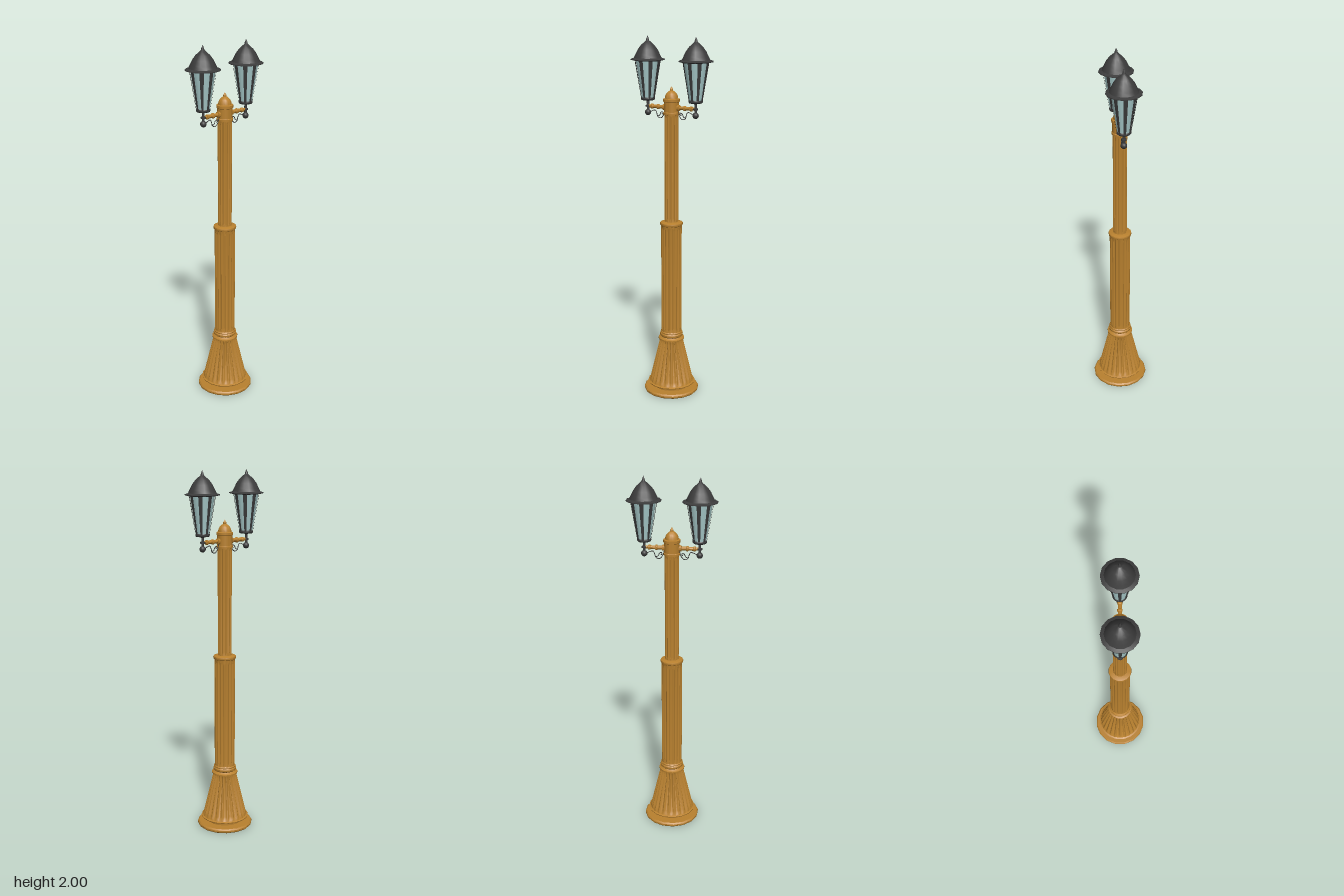
import * as THREE from 'three';
import { toCreasedNormals } from 'three/addons/utils/BufferGeometryUtils.js';

const mat = (color) => new THREE.MeshStandardMaterial({ color, side: THREE.DoubleSide });
const bronze = mat(0xb9812f);
const iron = mat(0x3c3c3c);
const glass = mat(0xa9cccc);

function add(parent, name, geometry, material, x = 0, y = 0, z = 0) {
  const mesh = new THREE.Mesh(geometry, material);
  mesh.name = name;
  mesh.position.set(x, y, z);
  parent.add(mesh);
  return mesh;
}

// Turned part from [radius, height] pairs, bottom to top
function turned(profile, sides = 16, start = Math.PI / sides) {
  const points = profile.map(([r, y]) => new THREE.Vector2(r, y));
  return toCreasedNormals(new THREE.LatheGeometry(points, sides, start), 0.6);
}

// Fluted shaft from [radius, height, groove depth] levels
function fluted(levels, flutes) {
  const steps = 7, n = flutes * steps, pos = [], index = [];
  for (const [r, y, depth] of levels) {
    for (let i = 0; i < n; i++) {
      const t = (i % steps) / steps;
      const groove = t < 0.2 ? 0 : Math.sin(Math.PI * (t - 1 / steps) / (1 - 1 / steps));
      const a = ((i - 0.5) / n) * Math.PI * 2, rr = r - depth * groove;
      pos.push(rr * Math.sin(a), y, rr * Math.cos(a));
    }
  }
  for (let j = 0; j < levels.length - 1; j++) {
    for (let i = 0; i < n; i++) {
      const a = j * n + i, b = j * n + (i + 1) % n;
      index.push(a, b, b + n, a, b + n, a + n);
    }
  }
  const g = new THREE.BufferGeometry();
  g.setAttribute('position', new THREE.Float32BufferAttribute(pos, 3));
  g.setIndex(index);
  return toCreasedNormals(g, 0.6);
}

function createLantern() {
  const lantern = new THREE.Group();
  lantern.name = 'lantern';
  // Finial ball and stem
  add(lantern, 'ball', new THREE.SphereGeometry(0.017, 14, 10), iron, 0, 1.592, 0);
  add(lantern, 'stem', turned([[0.007, 1.6], [0.007, 1.62], [0.014, 1.622], [0.014, 1.63],
    [0.007, 1.632], [0.007, 1.652], [0.016, 1.66]], 12), iron);
  add(lantern, 'lowerRim', turned([[0, 1.658], [0.034, 1.658], [0.038, 1.663],
    [0.038, 1.67], [0.035, 1.674], [0, 1.674]], 16), iron);
  // Tapered glass and the ribs around it
  const h = 0.2, mid = 1.77, ribs = 8, span = 0.32;
  add(lantern, 'glass', new THREE.CylinderGeometry(0.065, 0.034, h, 16, 1, true), glass, 0, mid, 0);
  for (let i = 0; i < ribs; i++) {
    const start = (i / ribs) * Math.PI * 2 - span / 2;
    add(lantern, 'rib', new THREE.CylinderGeometry(0.07, 0.037, h, 2, 1, true, start, span), iron, 0, mid, 0);
  }
  // Bell-shaped roof with a thin brim and a spike
  add(lantern, 'roof', turned([[0, 1.867], [0.07, 1.867], [0.0925, 1.872], [0.0925, 1.876],
    [0.075, 1.882], [0.066, 1.9], [0.054, 1.925], [0.037, 1.948], [0.018, 1.965],
    [0.009, 1.973], [0.007, 1.982], [0, 2]], 14, 0), iron);
  return lantern;
}

function createArm() {
  const arm = new THREE.Group();
  arm.name = 'arm';
  // Turned horizontal bar
  const bar = add(arm, 'armBar', turned([[0.016, 0.035], [0.016, 0.05], [0.01, 0.052], [0.01, 0.075],
    [0.014, 0.078], [0.014, 0.086], [0.01, 0.089], [0.01, 0.112], [0.013, 0.115],
    [0.013, 0.125], [0.008, 0.127], [0.008, 0.147]], 12), bronze, 0, 1.626, 0);
  bar.rotation.z = -Math.PI / 2;
  // Thin wire scroll below the bar
  const path = [[0.04, 1.612], [0.048, 1.585], [0.066, 1.566], [0.085, 1.572], [0.092, 1.592],
    [0.1, 1.606], [0.115, 1.603], [0.13, 1.596], [0.145, 1.596]];
  const curl = [[0.088, 1.575], [0.074, 1.58], [0.066, 1.595], [0.056, 1.6], [0.053, 1.59], [0.06, 1.587]];
  for (const points of [path, curl]) {
    const curve = new THREE.CatmullRomCurve3(points.map(([x, y]) => new THREE.Vector3(x, y, 0)));
    add(arm, 'scroll', new THREE.TubeGeometry(curve, 32, 0.0022, 6), iron);
  }
  return arm;
}

export function createModel() {
  const lamp = new THREE.Group();
  lamp.name = 'streetLamp';

  // Hollow foot: plate, neck and flange
  add(lamp, 'foot', turned([[0.092, 0.022], [0.1, 0.005], [0.13, 0], [0.15, 0], [0.155, 0.006],
    [0.155, 0.015], [0.148, 0.022], [0.096, 0.022], [0.096, 0.048], [0.132, 0.048],
    [0.134, 0.053], [0.122, 0.058]]), bronze);
  add(lamp, 'flutedBase', fluted([[0.124, 0.055, 0], [0.122, 0.065, 0.004], [0.118, 0.08, 0.009],
    [0.07, 0.285, 0.012], [0.066, 0.3, 0.008], [0.064, 0.312, 0]], 24), bronze);
  add(lamp, 'baseRings', turned([[0.06, 0.308], [0.073, 0.31], [0.073, 0.317], [0.064, 0.32],
    [0.058, 0.326], [0.064, 0.332], [0.065, 0.342], [0.06, 0.348], [0.062, 0.353],
    [0.056, 0.36], [0.05, 0.36]]), bronze);

  // Lower and upper shafts
  add(lamp, 'lowerShaft', fluted([[0.057, 0.355, 0], [0.057, 0.385, 0.006],
    [0.057, 0.95, 0.006], [0.057, 0.98, 0]], 18), bronze);
  add(lamp, 'shaftRim', turned([[0.055, 0.975], [0.062, 0.98], [0.064, 0.987], [0.062, 0.994],
    [0.05, 0.998], [0.035, 1]]), bronze);
  add(lamp, 'upperShaft', fluted([[0.038, 0.995, 0], [0.038, 1.02, 0.005],
    [0.038, 1.57, 0.005], [0.038, 1.595, 0]], 14), bronze);

  // Collar and pointed dome
  add(lamp, 'cap', turned([[0.035, 1.588], [0.044, 1.59], [0.044, 1.6], [0.041, 1.603],
    [0.041, 1.655], [0.045, 1.658], [0.045, 1.672], [0.036, 1.675], [0.034, 1.688],
    [0.028, 1.7], [0.017, 1.711], [0.008, 1.717], [0.009, 1.723], [0.005, 1.73], [0, 1.738]]), bronze);

  // Matching arm and lantern on each side
  for (const side of [-1, 1]) {
    const arm = createArm();
    if (side < 0) arm.rotation.y = Math.PI;
    arm.name = side > 0 ? 'leftArm' : 'rightArm';
    const lantern = createLantern();
    lantern.name = side > 0 ? 'leftLantern' : 'rightLantern';
    lantern.position.x = side * 0.147;
    lamp.add(arm, lantern);
  }
  return lamp;
}
